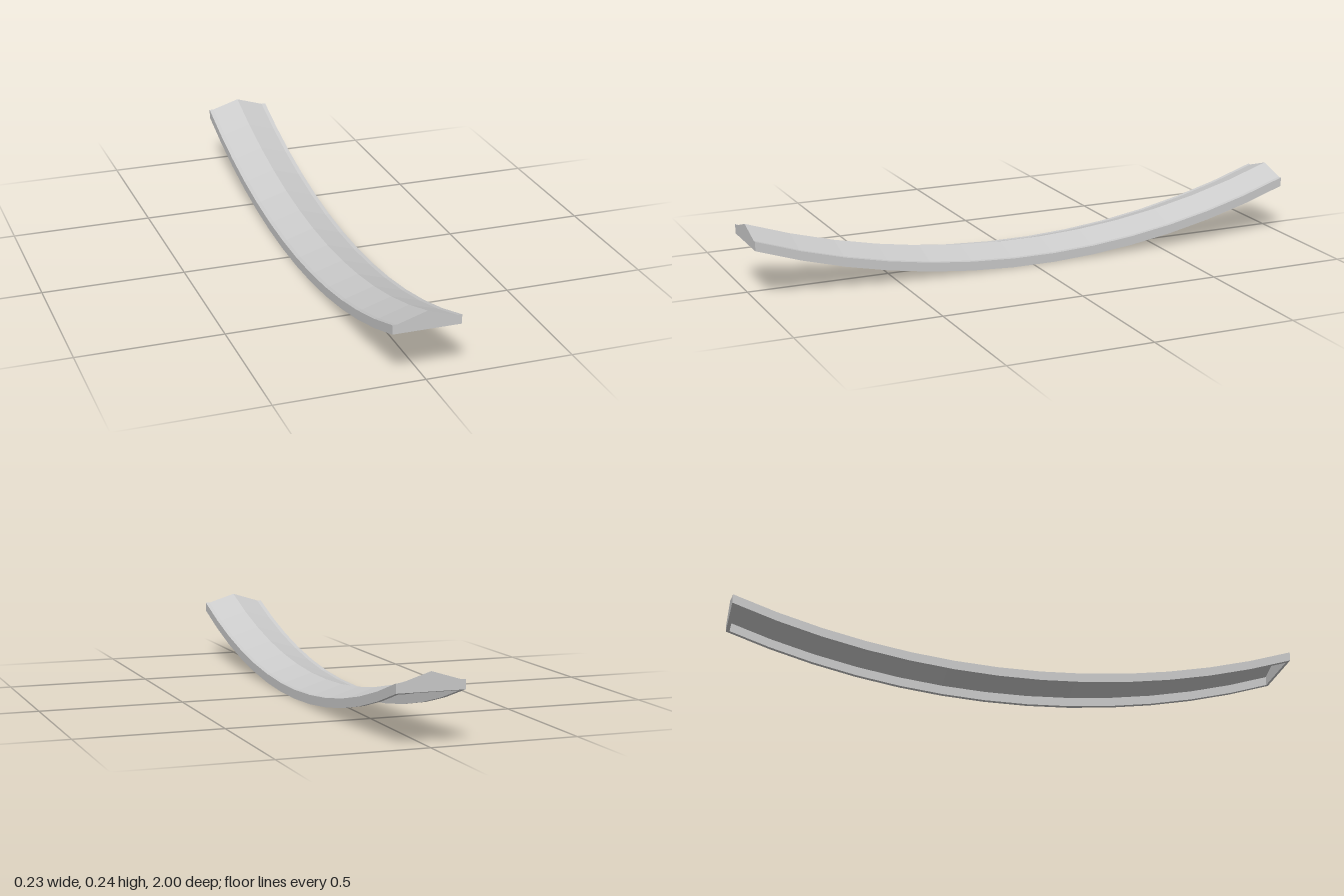
import * as THREE from 'three';

const SEGMENTS = 13, LENGTH = 2, RISE = 0.174;
const INNER = 0.1, OUTER = 0.115;      // half widths inside and outside the rails
const SHOULDER = 0.032, RIDGE = 0.063; // heights above the bottom edge
const CAP = 0.012;

const RADIUS = 2.96;
const arc = z => RADIUS - Math.sqrt(RADIUS * RADIUS - z * z);

// Height of the sagging centre line: an arc made of straight pieces
function sag(z) {
  const step = LENGTH / SEGMENTS;
  const i = Math.min(SEGMENTS - 1, Math.max(0, Math.floor((z + 1) / step + 1e-6)));
  const z0 = -1 + i * step, t = (z - z0) / step;
  const low = arc(step / 2);
  const y = THREE.MathUtils.lerp(arc(z0), arc(z0 + step), t) - low;
  return y * RISE / (arc(1) - low);
}

// Lift every vertex onto the sagging line, keeping cross-sections vertical
function bend(geometry) {
  const g = geometry.index ? geometry.toNonIndexed() : geometry;
  const p = g.attributes.position;
  for (let i = 0; i < p.count; i++) p.setY(i, p.getY(i) + sag(p.getZ(i)));
  g.computeVertexNormals();
  return g;
}

function sweep(points, z0, z1, steps) {
  const shape = new THREE.Shape(points.map(([x, y]) => new THREE.Vector2(x, y)));
  const g = new THREE.ExtrudeGeometry(shape, { depth: z1 - z0, steps, bevelEnabled: false });
  return bend(g.translate(0, 0, z0));
}

export function createModel() {
  const model = new THREE.Group();
  model.name = 'curvedRidgeChannel';
  const material = new THREE.MeshStandardMaterial({ color: 0xcccccc, flatShading: true });
  const sheet = material.clone();
  sheet.side = THREE.DoubleSide;
  const add = (name, geometry, mat = material) => {
    const mesh = new THREE.Mesh(geometry, mat);
    mesh.name = name;
    model.add(mesh);
  };

  // Thin ridged sheet between the end caps
  const roof = new THREE.PlaneGeometry(INNER * 2, LENGTH, 2, SEGMENTS).rotateX(-Math.PI / 2);
  const p = roof.attributes.position;
  for (let i = 0; i < p.count; i++) {
    p.setY(i, THREE.MathUtils.lerp(RIDGE, SHOULDER, Math.abs(p.getX(i)) / INNER));
    p.setZ(i, THREE.MathUtils.clamp(p.getZ(i), CAP - 1, 1 - CAP));
  }
  add('ridgedSheet', bend(roof), sheet);

  // Side rails
  for (const [name, a, b] of [['leftRail', INNER, OUTER], ['rightRail', -OUTER, -INNER]]) {
    add(name, sweep([[a, 0], [b, 0], [b, SHOULDER], [a, SHOULDER]], -1, 1, SEGMENTS));
  }

  // Gabled end caps
  const gable = [[-INNER, 0], [INNER, 0], [INNER, SHOULDER], [0, RIDGE], [-INNER, SHOULDER]];
  add('frontCap', sweep(gable, 1 - CAP, 1, 1));
  add('backCap', sweep(gable, -1, CAP - 1, 1));
  return model;
}
